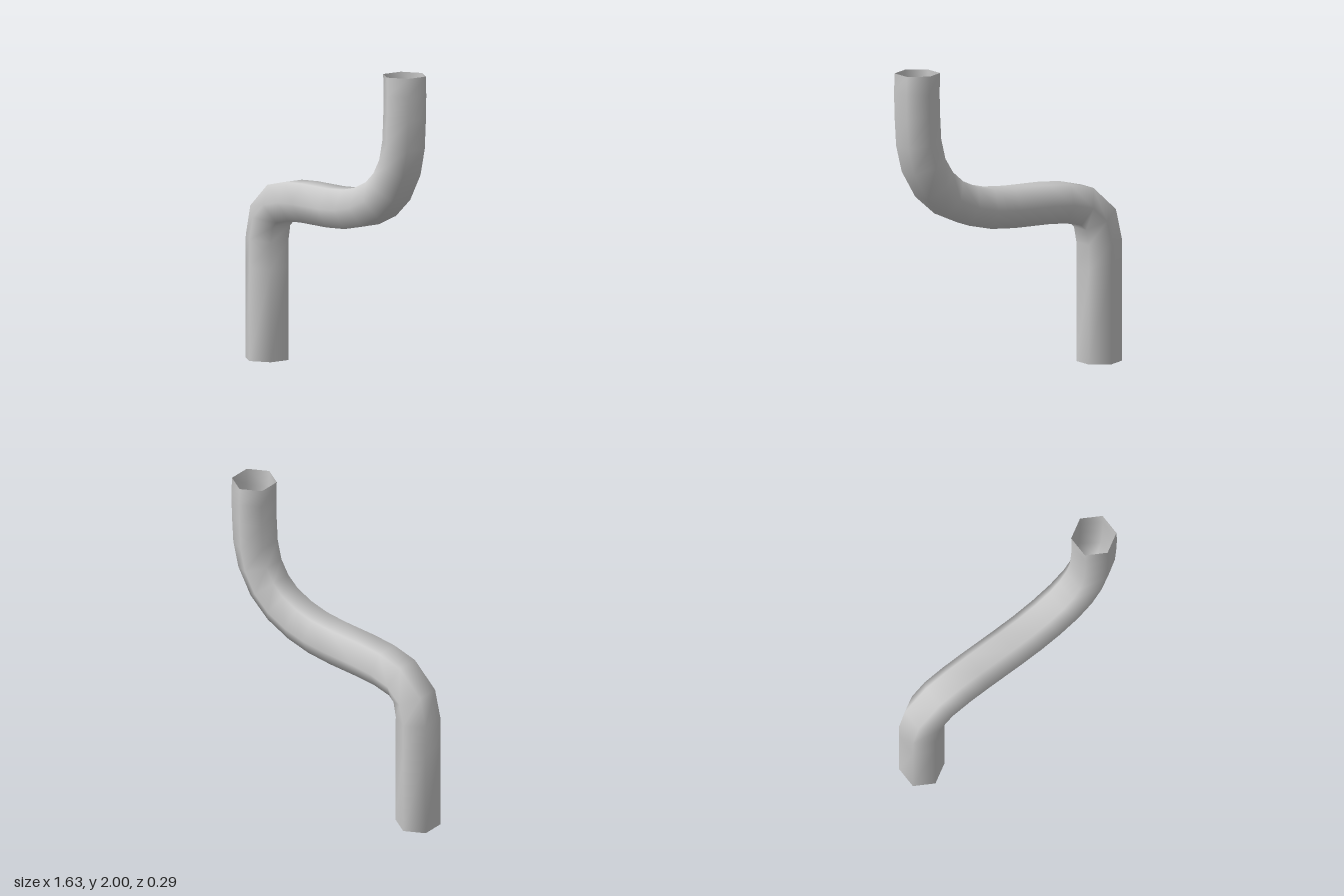
import * as THREE from 'three';

const SIDES = 6;
const RADIUS = 0.145;

// Centre line of the pipe: x, y and direction of travel in degrees (90 = straight up)
const STATIONS = [
  [-0.69, 0, 90], [-0.69, 0.6, 90], [-0.69, 0.78, 85.5], [-0.658, 0.928, 63],
  [-0.555, 1.022, 21], [-0.41, 1.055, 9], [-0.265, 1.064, 2], [-0.01, 1.065, 1],
  [0.155, 1.076, 7], [0.305, 1.11, 16], [0.448, 1.173, 30], [0.558, 1.267, 50],
  [0.638, 1.4, 71], [0.675, 1.55, 81], [0.686, 1.735, 87], [0.689, 1.88, 90],
  [0.685, 2, 90],
];

// Sweep a hexagon along the stations, sharing vertices for smooth shading
function sweepPipe(stations) {
  const positions = [];
  const indices = [];
  stations.forEach(([x, y, degrees], i) => {
    const t = THREE.MathUtils.degToRad(degrees);
    for (let j = 0; j < SIDES; j++) {
      const a = ((j + 0.5) / SIDES) * Math.PI * 2;
      const r = RADIUS * Math.cos(a);
      positions.push(x + r * Math.sin(t), y - r * Math.cos(t), RADIUS * Math.sin(a));
      if (i === stations.length - 1) continue;
      const p = i * SIDES + j;
      const q = i * SIDES + ((j + 1) % SIDES);
      indices.push(p, p + SIDES, q, q, p + SIDES, q + SIDES);
    }
  });
  const geometry = new THREE.BufferGeometry();
  geometry.setAttribute('position', new THREE.Float32BufferAttribute(positions, 3));
  geometry.setIndex(indices);
  geometry.computeVertexNormals();
  return geometry;
}

export function createModel() {
  const group = new THREE.Group();
  group.name = 'bentPipe';

  // Open-ended hollow pipe, so the inside shows too
  const material = new THREE.MeshStandardMaterial({ color: 0xcccccc, side: THREE.DoubleSide });
  const pipe = new THREE.Mesh(sweepPipe(STATIONS), material);
  pipe.name = 'pipe';
  group.add(pipe);
  return group;
}
